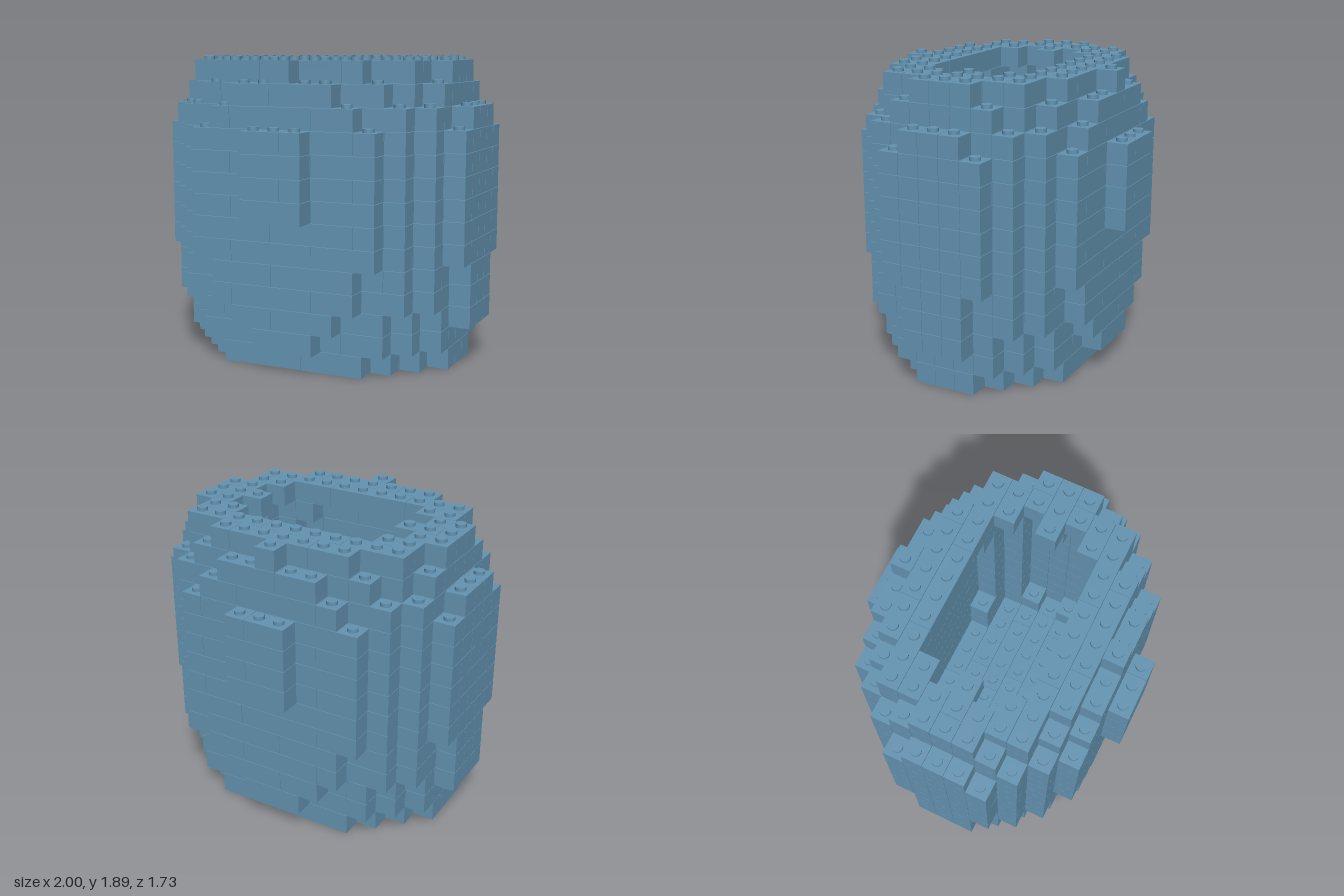
import * as THREE from 'three';
import { mergeGeometries } from 'three/addons/utils/BufferGeometryUtils.js';

const CELL = 2 / 15;   // stud pitch and course height
const GAP = 0.003;     // joint between bricks

// Half-widths in cells for rows |z| = 0, 1, 2 ... of each course.
const mid = [7, 7, 7, 6, 5, 4];
const belly = [...mid, 1];
const outer = [
  [6, 6, 5, 4, 3],
  [6, 6, 6, 5, 4, 1],
  [7, 7, 6, 5, 4, 2],
  [7, 7, 6, 6, 5, 3],
  [7, 7, 6, 6, 5, 3],
  mid, mid,
  belly, belly, belly, belly,
  [7, 7, 6, 6, 5, 3],
  [6, 6, 6, 5, 4, 2],
  [6, 6, 5, 5, 3, 0],
];

// Half-widths of the hollow, same indexing; the lowest three courses are solid.
const hollow = [5, 5, 4, 3];
const inner = [
  [], [], [],
  [5, 4, 4, 2],
  [5, 5, 4, 2],
  ...Array(7).fill(hollow),
  [4, 5, 4, 2],
  [3, 4, 3],
];

function filled(x, course, z) {
  const row = Math.abs(z);
  const out = outer[course]?.[row] ?? -1;
  const hole = inner[course]?.[row] ?? -1;
  return Math.abs(x) <= out && Math.abs(x) > hole;
}

// One brick covering cells x0..x1 of a row
function brick(x0, x1, course, z) {
  const g = new THREE.BoxGeometry((x1 - x0 + 1) * CELL - GAP, CELL - GAP, CELL - GAP);
  return g.translate((x0 + x1) / 2 * CELL, (course + 0.5) * CELL, z * CELL);
}

function stud(x, course, z) {
  const g = new THREE.CylinderGeometry(0.033, 0.033, 0.024, 16);
  return g.translate(x * CELL, (course + 1) * CELL + 0.009, z * CELL);
}

export function createModel() {
  const vase = new THREE.Group();
  vase.name = 'brickVase';
  const blue = new THREE.MeshStandardMaterial({ color: 0x6494b2 });
  blue.name = 'dusty blue';

  for (let course = 0; course < outer.length; course++) {
    const bricks = [], studs = [];
    for (let z = -6; z <= 6; z++) {
      let start = null;
      for (let x = -7; x <= 7; x++) {
        if (!filled(x, course, z)) continue;
        if (start === null) start = x;
        // Close a brick at the end of a run or at the staggered joint
        const joint = (x + 8 + 2 * (course % 2) + (z & 1)) % 4 === 0;
        if (joint || !filled(x + 1, course, z)) {
          bricks.push(brick(start, x, course, z));
          start = null;
        }
        // Studs only where nothing sits on top
        if (!filled(x, course + 1, z)) studs.push(stud(x, course, z));
      }
    }
    const wall = new THREE.Mesh(mergeGeometries(bricks), blue);
    wall.name = `brickCourse${course + 1}`;
    vase.add(wall);
    if (studs.length) {
      const knobs = new THREE.Mesh(mergeGeometries(studs), blue);
      knobs.name = `studs${course + 1}`;
      vase.add(knobs);
    }
  }
  return vase;
}
